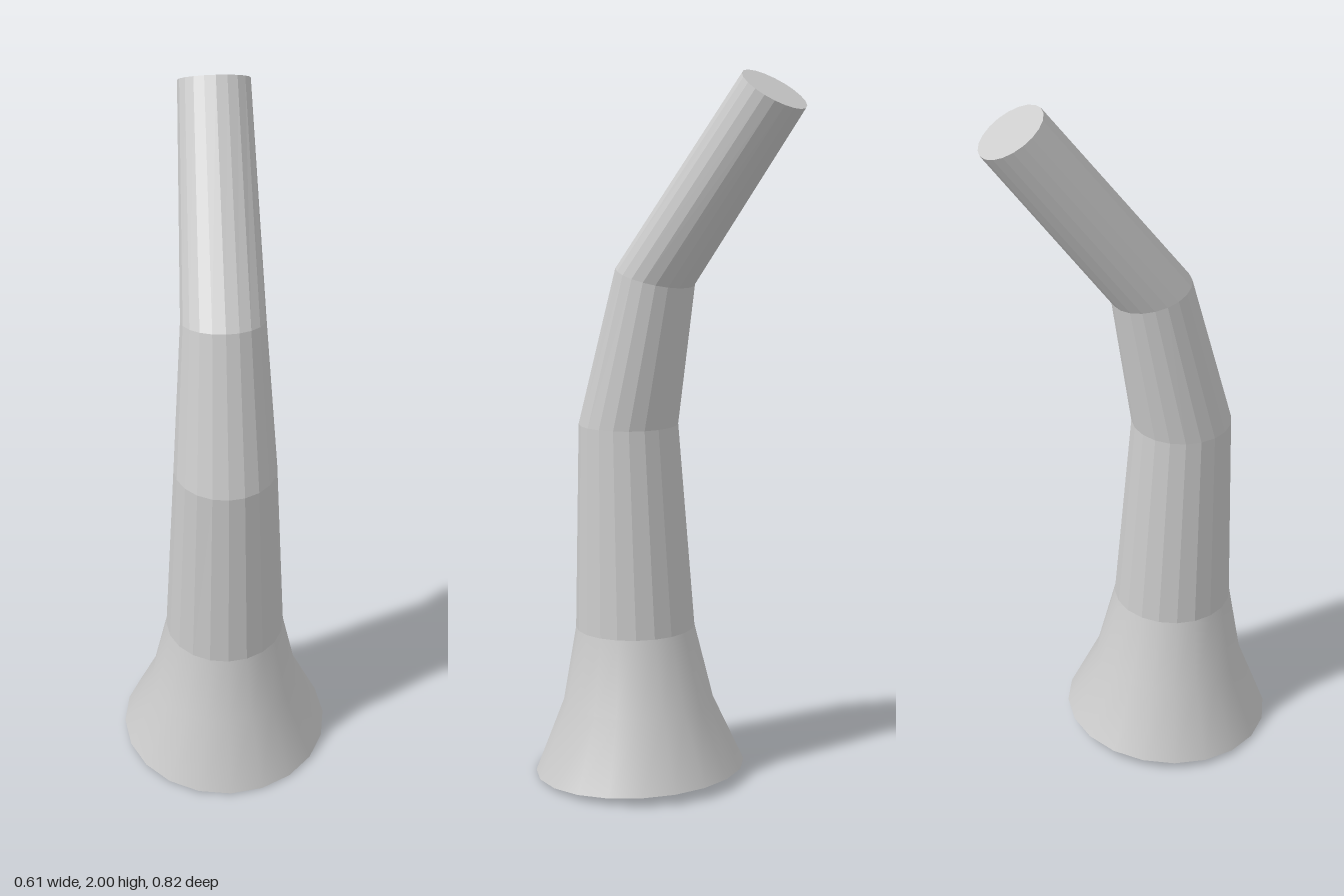
import * as THREE from 'three';

const SIDES = 20;

// Each ring: half width, front edge (z, y), back edge (z, y)
const RINGS = [
  { r: 0.304, front: [0.41, 0.0], back: [-0.192, 0.032] },
  { r: 0.216, front: [0.33, 0.215], back: [-0.102, 0.22] },
  { r: 0.171, front: [0.295, 0.43], back: [-0.046, 0.435] },
  { r: 0.142, front: [0.287, 1.02], back: [0.005, 1.02] },
  { r: 0.114, front: [0.162, 1.47], back: [-0.056, 1.415] },
  { r: 0.097, front: [-0.245, 2.0], back: [-0.408, 1.897] },
];

// Points around one tilted ring, starting at the front and turning to +x
function ringPoints({ r, front, back }) {
  const points = [];
  for (let j = 0; j < SIDES; j++) {
    const a = (j / SIDES) * Math.PI * 2;
    const t = (1 - Math.cos(a)) / 2;
    points.push(
      r * Math.sin(a),
      THREE.MathUtils.lerp(front[1], back[1], t),
      THREE.MathUtils.lerp(front[0], back[0], t)
    );
  }
  return points;
}

function buildGeometry(positions, index) {
  const geometry = new THREE.BufferGeometry();
  geometry.setAttribute('position', new THREE.Float32BufferAttribute(positions, 3));
  geometry.setIndex(index);
  return geometry;
}

// Skin joining consecutive rings
function loft(rings, flat) {
  const index = [];
  for (let i = 0; i < rings.length - 1; i++) {
    for (let j = 0; j < SIDES; j++) {
      const k = (j + 1) % SIDES;
      const a = i * SIDES + j, b = i * SIDES + k;
      index.push(a, b, b + SIDES, a, b + SIDES, a + SIDES);
    }
  }
  let geometry = buildGeometry(rings.flatMap(ringPoints), index);
  if (flat) geometry = geometry.toNonIndexed();
  geometry.computeVertexNormals();
  return geometry;
}

// Flat disc closing a ring
function cap(ring, up) {
  const index = [];
  for (let j = 1; j < SIDES - 1; j++) index.push(0, ...(up ? [j, j + 1] : [j + 1, j]));
  const geometry = buildGeometry(ringPoints(ring), index);
  geometry.computeVertexNormals();
  return geometry;
}

export function createModel() {
  const group = new THREE.Group();
  group.name = 'bentHorn';
  const smooth = new THREE.MeshStandardMaterial({ color: 0xcccccc });
  const faceted = new THREE.MeshStandardMaterial({ color: 0xcccccc, flatShading: true });

  const add = (name, geometry, material) => {
    const mesh = new THREE.Mesh(geometry, material);
    mesh.name = name;
    group.add(mesh);
  };

  // Smooth flared foot, then the faceted bent tube
  add('flaredBase', loft(RINGS.slice(0, 3), false), smooth);
  add('lowerTube', loft(RINGS.slice(2, 4), true), faceted);
  add('middleTube', loft(RINGS.slice(3, 5), true), faceted);
  add('upperTube', loft(RINGS.slice(4, 6), true), faceted);

  // End discs
  add('bottomCap', cap(RINGS[0], false), faceted);
  add('topCap', cap(RINGS[5], true), faceted);
  return group;
}
